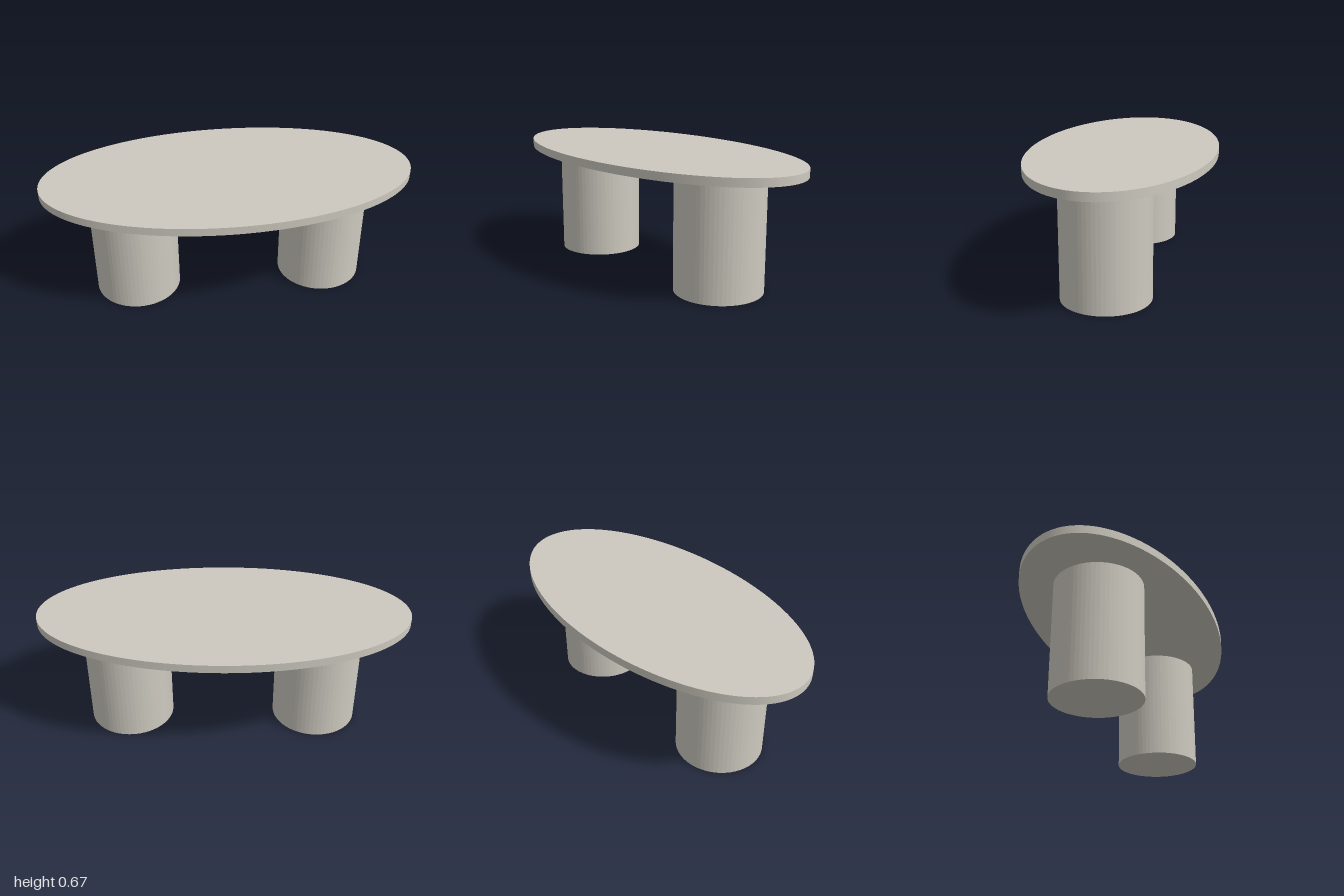
import * as THREE from 'three';

export function createModel() {
  const group = new THREE.Group();
  const stone = new THREE.MeshStandardMaterial({ color: 0xcdc9bf });
  stone.name = 'warm grey stone';

  const legHeight = 0.627;
  const topThickness = 0.043;

  // Thin oval tabletop
  const topGeometry = new THREE.CylinderGeometry(1, 1, topThickness, 128);
  topGeometry.scale(1, 1, 0.505);
  const tableTop = new THREE.Mesh(topGeometry, stone);
  tableTop.name = 'tableTop';
  tableTop.position.y = legHeight + topThickness / 2;
  group.add(tableTop);

  // Two thick drum legs with finely faceted sides, set slightly off centre
  const legGeometry = new THREE.CylinderGeometry(0.234, 0.234, legHeight, 64).toNonIndexed();
  legGeometry.computeVertexNormals();
  for (const [name, x] of [['rightLeg', -0.521], ['leftLeg', 0.532]]) {
    const leg = new THREE.Mesh(legGeometry, stone);
    leg.name = name;
    leg.position.set(x, legHeight / 2, 0.008);
    group.add(leg);
  }

  return group;
}
